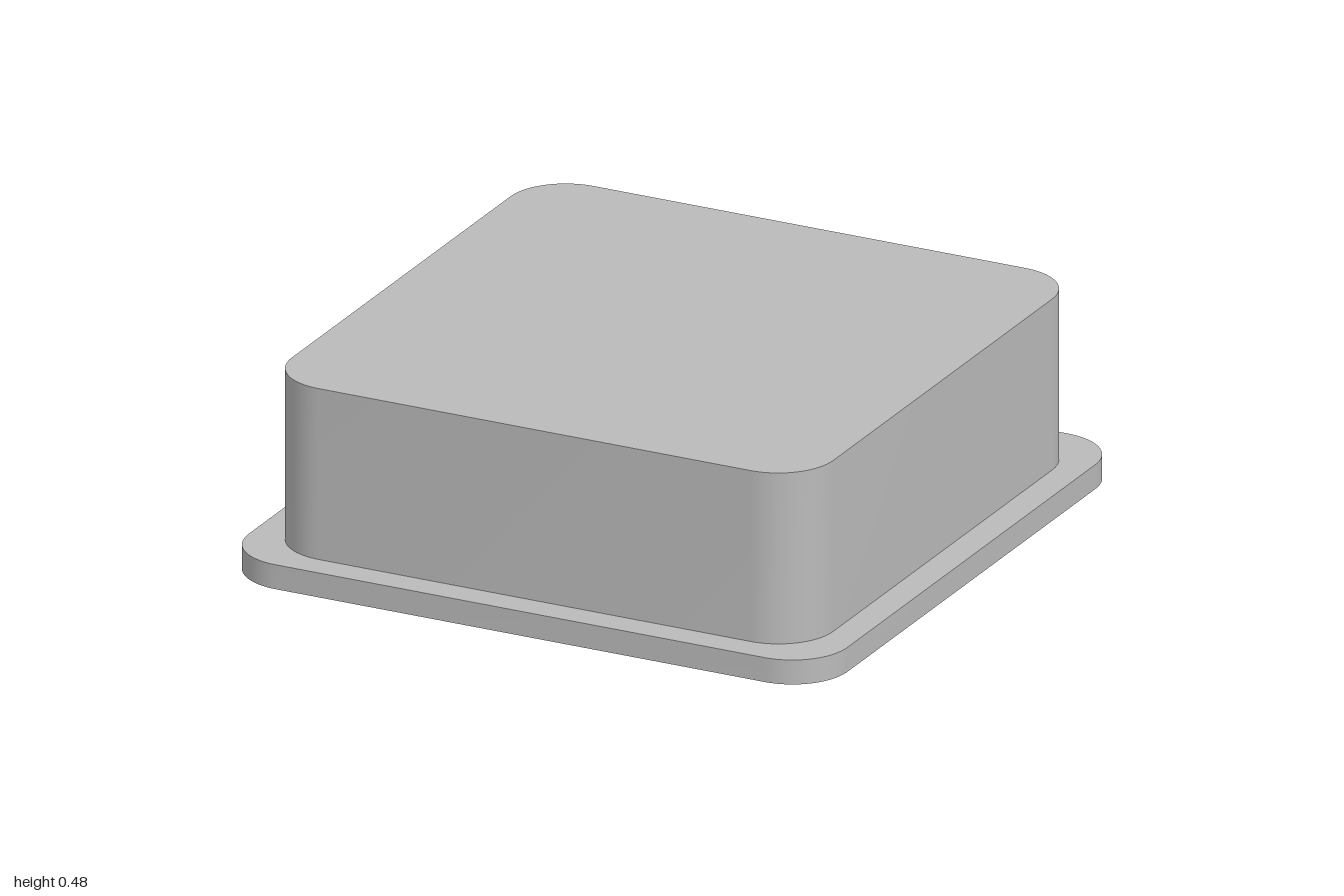
import * as THREE from 'three';
import { toCreasedNormals } from 'three/addons/utils/BufferGeometryUtils.js';

const ARC = 16; // segments per rounded corner

// Rounded square of half-width h and corner radius r at height y (r = h gives a circle)
function contour([h, r, y]) {
  const pts = [];
  for (let k = 0; k < 4; k++) {
    const mid = Math.PI / 4 + k * Math.PI / 2;
    const cx = Math.SQRT2 * (h - r) * Math.cos(mid);
    const cz = -Math.SQRT2 * (h - r) * Math.sin(mid);
    for (let i = 0; i <= ARC; i++) {
      const a = (k + i / ARC) * Math.PI / 2;
      pts.push(new THREE.Vector3(cx + r * Math.cos(a), y, cz - r * Math.sin(a)));
    }
  }
  return pts;
}

// Skin a sequence of contours, dropping collapsed triangles
function loft(sections) {
  const loops = sections.map(contour);
  const pos = [];
  const tri = (a, b, c) => {
    if (new THREE.Triangle(a, b, c).getArea() < 1e-8) return;
    for (const p of [a, b, c]) pos.push(p.x, p.y, p.z);
  };
  for (let s = 0; s < loops.length - 1; s++) {
    const lo = loops[s], hi = loops[s + 1];
    for (let i = 0; i < lo.length; i++) {
      const j = (i + 1) % lo.length;
      tri(lo[i], lo[j], hi[j]);
      tri(lo[i], hi[j], hi[i]);
    }
  }
  const g = new THREE.BufferGeometry();
  g.setAttribute('position', new THREE.Float32BufferAttribute(pos, 3));
  return toCreasedNormals(g, 0.5);
}

export function createModel() {
  const grey = new THREE.MeshStandardMaterial({ color: 0xbababa });
  grey.name = 'grey plastic';
  const group = new THREE.Group();
  group.name = 'flangedCap';
  const add = (name, sections) => {
    const mesh = new THREE.Mesh(loft(sections), grey);
    mesh.name = name;
    group.add(mesh);
  };

  const ceiling = 0.34, top = 0.48, flange = 0.06;

  // Hollow cap: square cavity, flange, rounded side walls and top
  add('capShell', [
    [0, 0, ceiling], [0.57, 0, ceiling], [0.57, 0, 0],
    [0.765, 0.14, 0], [0.765, 0.14, flange],
    [0.692, 0.14, flange], [0.692, 0.14, top], [0, 0, top],
  ]);

  // Tubular boss hanging from the cavity ceiling
  add('centreBoss', [
    [0.23, 0.23, ceiling], [0.23, 0.23, 0], [0.34, 0.34, 0], [0.34, 0.34, ceiling],
  ]);

  group.rotation.y = THREE.MathUtils.degToRad(31.8);
  return group;
}
